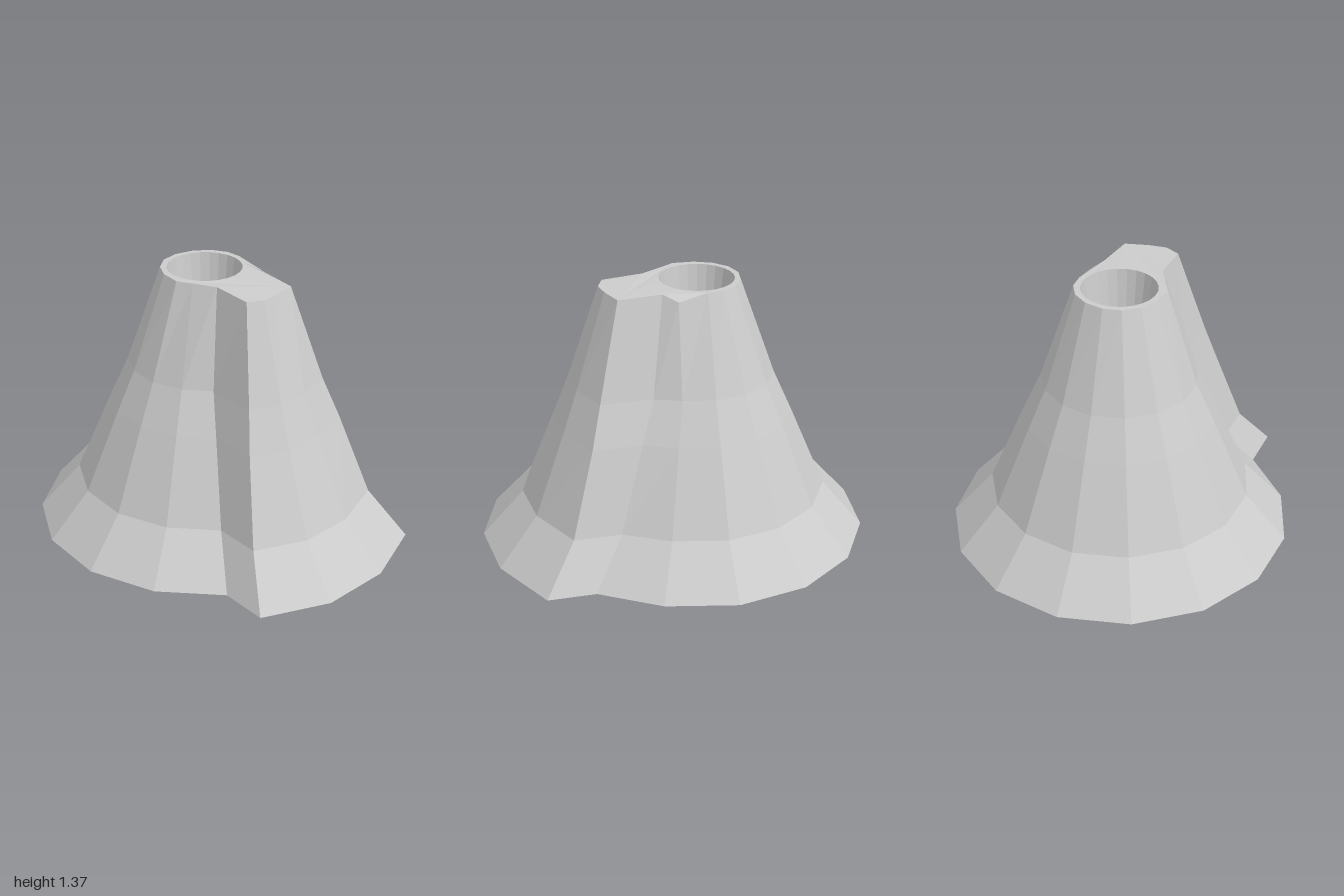
import * as THREE from 'three';

const CENTRE_Z = -0.12;
const SIDES = 15;
const material = new THREE.MeshStandardMaterial({ color: 0xcccccc, flatShading: true, side: THREE.DoubleSide });

// Height rings: y, cone radius, forward push of the ridge, x of the ridge's left edge
const rings = [
  { y: 0, r: 0.88, push: 0.245, edge: 0.62 },
  { y: 0.24, r: 0.67, push: 0.24, edge: 0.49 },
  { y: 0.66, r: 0.49, push: 0.25, edge: 0.38 },
  { y: 0.87, r: 0.395, push: 0.265, edge: 0.31 },
  { y: 1.365, r: 0.22, push: 0.23, edge: 0.19 },
];

// Outline of the uppermost ring, starting at +x and turning towards +z
const summit = [
  [0.22, -0.12], [0.24, 0.03], [0.19, 0.1], [0.19, 0.32], [0.07, 0.36], [-0.02, 0.375],
  [-0.1, 0.34], [-0.115, 0.13], [-0.18, 0.02], [-0.225, -0.05], [-0.22, -0.16], [-0.18, -0.25],
  [-0.11, -0.315], [-0.02, -0.34], [0.08, -0.325], [0.16, -0.275], [0.21, -0.2],
];

// The ridge top sits slightly lower, with one small chipped corner beside it
function summitY(x, z) {
  if (x > 0.23) return 1.335;
  return z > 0.2 ? 1.355 : 1.365;
}

// Polygonal cone section whose front corners are doubled and pushed forward
function outline({ r, push, edge }) {
  const points = [];
  for (let i = 0; i < SIDES; i++) {
    const a = (i / SIDES) * Math.PI * 2;
    const x = i === 2 ? edge : Math.cos(a) * r;
    const z = Math.sin(a) * r + CENTRE_Z;
    if (i === 2) points.push([x, z], [x, z + push]);
    else if (i === 3 || i === 4) points.push([x, z + push]);
    else if (i === 5) points.push([x, z + push], [x - 0.01, z]);
    else points.push([x, z]);
  }
  return points;
}

function addMesh(group, name, geometry) {
  const mesh = new THREE.Mesh(geometry, material);
  mesh.name = name;
  group.add(mesh);
}

// Sloping sides, lofted through the rings
function slopeGeometry() {
  const last = rings.length - 1;
  const loops = rings.map((ring, j) =>
    (j === last ? summit : outline(ring)).map(([x, z]) => [x, j === last ? summitY(x, z) : ring.y, z]));
  const positions = [];
  for (let j = 0; j < last; j++) {
    const n = loops[j].length;
    for (let i = 0; i < n; i++) {
      const k = (i + 1) % n;
      const a = loops[j][i], b = loops[j][k], c = loops[j + 1][k], d = loops[j + 1][i];
      positions.push(...a, ...d, ...b, ...b, ...d, ...c);
    }
  }
  const geometry = new THREE.BufferGeometry();
  geometry.setAttribute('position', new THREE.Float32BufferAttribute(positions, 3));
  geometry.computeVertexNormals();
  return geometry;
}

// Flat rim around the crater mouth, running out over the ridge
function rimGeometry(mouth) {
  const shape = new THREE.Shape(summit.map(([x, z]) => new THREE.Vector2(x, -z)));
  const hole = [];
  for (let i = 0; i < 24; i++) {
    const a = (i / 24) * Math.PI * 2;
    hole.push(new THREE.Vector2(Math.sin(a) * mouth, -(Math.cos(a) * mouth + CENTRE_Z)));
  }
  shape.holes.push(new THREE.Path(hole));
  const geometry = new THREE.ShapeGeometry(shape);
  geometry.rotateX(-Math.PI / 2);
  const p = geometry.attributes.position;
  for (let i = 0; i < p.count; i++) p.setY(i, summitY(p.getX(i), p.getZ(i)));
  geometry.computeVertexNormals();
  return geometry;
}

// Underside with a small wedge-shaped opening
function baseGeometry() {
  const shape = new THREE.Shape(outline(rings[0]).map(([x, z]) => new THREE.Vector2(x, z)));
  const corners = [[5, 0.28], [6, 0.28], [6, 0.57], [5, 0.57]].map(([i, r]) => {
    const a = (i / SIDES) * Math.PI * 2;
    return new THREE.Vector2(Math.cos(a) * r, Math.sin(a) * r + CENTRE_Z);
  });
  shape.holes.push(new THREE.Path(corners));
  return new THREE.ShapeGeometry(shape).rotateX(Math.PI / 2);
}

export function createModel() {
  const group = new THREE.Group();
  group.name = 'volcano';
  addMesh(group, 'slopes', slopeGeometry());
  addMesh(group, 'rim', rimGeometry(0.19));
  addMesh(group, 'base', baseGeometry());

  // Crater: tapering wall down to a flat floor
  const crater = new THREE.LatheGeometry(
    [new THREE.Vector2(0.19, 1.365), new THREE.Vector2(0.135, 0.97), new THREE.Vector2(0, 0.97)], 24);
  crater.translate(0, 0, CENTRE_Z);
  addMesh(group, 'crater', crater);
  return group;
}
